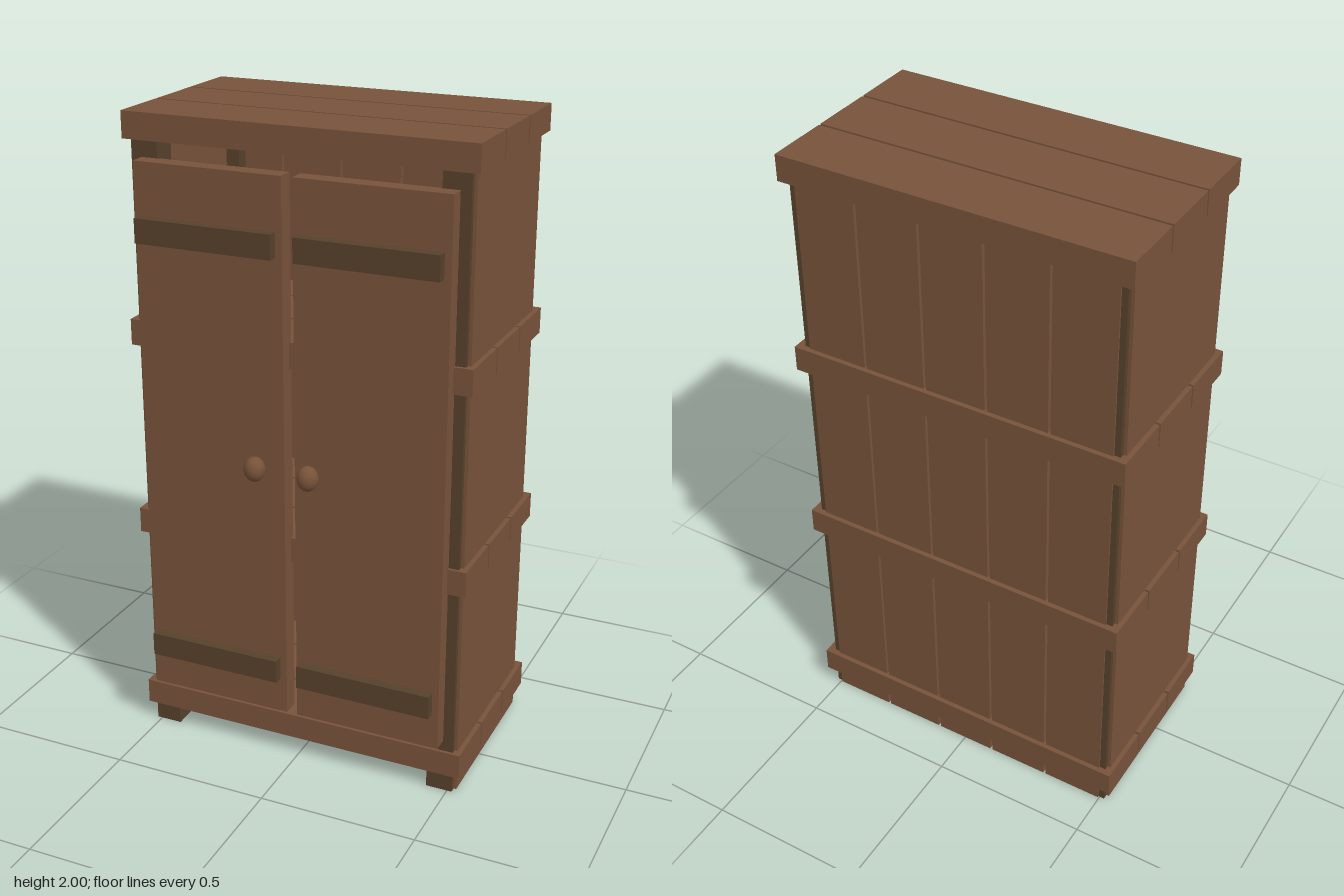
import * as THREE from 'three';

export function createModel() {
  const model = new THREE.Group();
  model.name = 'wardrobe';
  const wood = new THREE.MeshStandardMaterial({ color: 0x77523a });
  wood.name = 'brown wood';
  const darkWood = new THREE.MeshStandardMaterial({ color: 0x56412b });
  darkWood.name = 'dark wood';

  // Box given by its min and max on each axis
  function board(name, material, [x0, x1], [y0, y1], [z0, z1], parent = model) {
    const mesh = new THREE.Mesh(new THREE.BoxGeometry(x1 - x0, y1 - y0, z1 - z0), material);
    mesh.position.set((x0 + x1) / 2, (y0 + y1) / 2, (z0 + z1) / 2);
    mesh.name = name;
    parent.add(mesh);
  }

  // Floor, two shelves and top: three planks each, overhanging the carcass
  const plankDepths = [[-0.37, -0.171], [-0.163, 0.035], [0.043, 0.24]];
  [['floor', 0.06], ['lowerShelf', 0.68], ['upperShelf', 1.3], ['top', 1.92]].forEach(([name, y]) => {
    const layer = new THREE.Group();
    layer.name = name;
    plankDepths.forEach((z) => board(name + 'Plank', wood, [-0.54, 0.54], [y, y + 0.08], z, layer));
    model.add(layer);
  });

  // Back wall of five upright planks with narrow gaps
  for (let i = -2; i <= 2; i++) {
    board('backPlank', wood, [i * 0.2 - 0.096, i * 0.2 + 0.096], [0, 1.95], [-0.355, -0.315]);
  }

  for (const s of [-1, 1]) {
    const span = (a, b) => (s > 0 ? [a, b] : [-b, -a]);
    const side = s > 0 ? 'left' : 'right';

    // Side wall and the corner posts, which also form the feet
    board(side + 'SideWall', wood, span(0.475, 0.525), [0.003, 1.95], [-0.335, 0.215]);
    board(side + 'FrontPost', darkWood, span(0.432, 0.515), [0, 1.95], [0.15, 0.23]);
    board(side + 'BackPost', darkWood, span(0.432, 0.515), [0, 1.95], [-0.35, -0.27]);

    // Door with two straps and a knob
    const door = new THREE.Group();
    door.name = side + 'Door';
    board('doorPanel', wood, span(0.017, 0.483), [0.175, 1.87], [0.226, 0.28], door);
    for (const y of [0.297, 1.64]) {
      board('doorStrap', darkWood, span(0.034, 0.465), [y, y + 0.074], [0.288, 0.319], door);
    }
    const knob = new THREE.Mesh(new THREE.SphereGeometry(1, 24, 16), wood);
    knob.scale.set(0.032, 0.038, 0.032);
    knob.position.set(s * 0.085, 1.013, 0.338);
    knob.name = 'knob';
    door.add(knob);
    model.add(door);
  }
  return model;
}
